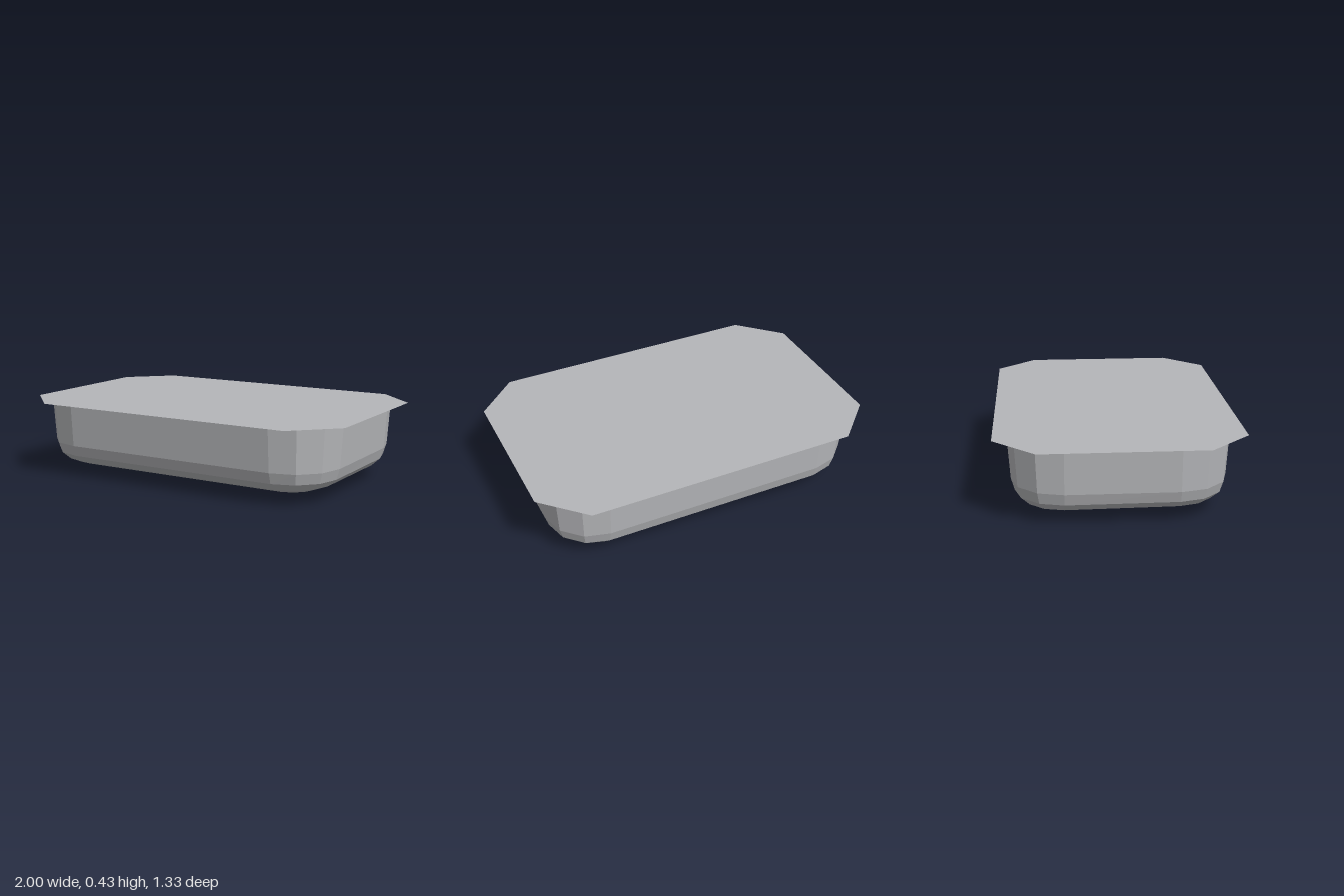
import * as THREE from 'three';

const steel = new THREE.MeshStandardMaterial({ name: 'steel grey', color: 0xb5b6b9, flatShading: true, side: THREE.DoubleSide });
const drainSteel = new THREE.MeshStandardMaterial({ name: 'drain steel', color: 0xb0bac0, flatShading: true, side: THREE.DoubleSide });

const CORNER_X = 0.64, CORNER_Z = 0.3, DRAIN_Z = -0.18, CORNER_STEPS = 3;

// One rounded-rectangle loop; fall = 0 keeps it level, 1 makes it follow the sloping floor
function ring(radius, y, fall) {
  const points = [];
  for (let q = 0; q < 4; q++) {
    const cx = (q === 0 || q === 3 ? 1 : -1) * CORNER_X;
    const cz = (q < 2 ? 1 : -1) * CORNER_Z;
    for (let i = 0; i <= CORNER_STEPS; i++) {
      const a = (q + i / CORNER_STEPS) * Math.PI / 2;
      const x = cx + radius * Math.cos(a), z = cz + radius * Math.sin(a);
      const floorY = 0.01 + 0.043 * Math.hypot(x, z - DRAIN_Z);
      points.push([x, y + fall * (floorY - 0.036), z]);
    }
  }
  return points;
}

// Walls, curved foot and floor that runs down to the drain
function basinGeometry() {
  const rings = [
    ring(0.292, 0.428, 0),
    ring(0.275, 0.18, 0),
    ring(0.255, 0.11, 0.5),
    ring(0.205, 0.06, 1),
    ring(0.13, 0.036, 1),
  ];
  const n = rings[0].length, pos = [];
  for (let r = 0; r < rings.length - 1; r++) {
    for (let i = 0; i < n; i++) {
      const j = (i + 1) % n, top = rings[r], low = rings[r + 1];
      pos.push(...top[i], ...top[j], ...low[j], ...top[i], ...low[j], ...low[i]);
    }
  }
  const last = rings[rings.length - 1];
  for (let i = 0; i < n; i++) pos.push(...last[i], ...last[(i + 1) % n], 0, 0.012, DRAIN_Z);
  const g = new THREE.BufferGeometry();
  g.setAttribute('position', new THREE.Float32BufferAttribute(pos, 3));
  g.computeVertexNormals();
  return g;
}

export function createModel() {
  const model = new THREE.Group();
  model.name = 'basin';
  const add = (name, geometry, material) => {
    const mesh = new THREE.Mesh(geometry, material);
    mesh.name = name;
    model.add(mesh);
    return mesh;
  };

  // Flat sheet with clipped corners
  const outline = [[1, 0.44], [0.77, 0.666], [-0.77, 0.666], [-1, 0.44],
    [-1, -0.44], [-0.77, -0.666], [0.77, -0.666], [1, -0.44]];
  const sheet = new THREE.ShapeGeometry(new THREE.Shape(outline.map(p => new THREE.Vector2(...p))));
  sheet.rotateX(-Math.PI / 2);
  add('topSheet', sheet, steel).position.y = 0.43;

  add('bowl', basinGeometry(), steel);

  // Shallow drain fitting under the floor
  const profile = [[0, 0], [0.13, 0], [0.165, 0.008], [0.18, 0.02]].map(p => new THREE.Vector2(...p));
  add('drain', new THREE.LatheGeometry(profile, 16), drainSteel).position.z = DRAIN_Z;

  return model;
}
